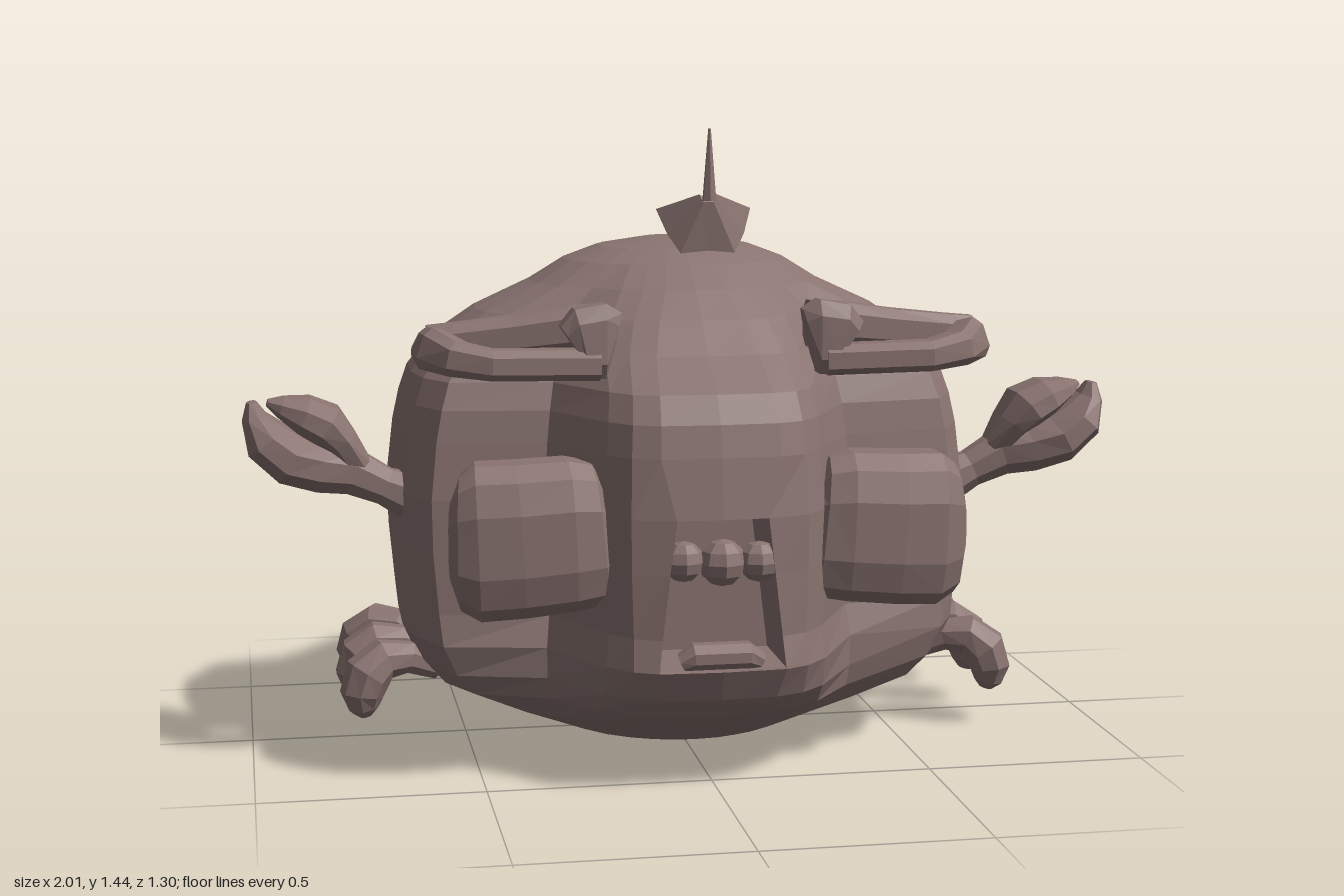
import * as THREE from 'three';

const shell = new THREE.MeshStandardMaterial({ color: 0x8a7471, flatShading: true, side: THREE.DoubleSide });
shell.name = 'dusty brown';

// Skins a list of equal-length closed rings and caps both ends
function skin(rings, skip = () => false) {
  const n = rings[0].length, pos = [], idx = [];
  rings.forEach(r => r.forEach(p => pos.push(p.x, p.y, p.z)));
  for (let l = 0; l < rings.length - 1; l++) {
    for (let i = 0; i < n; i++) {
      if (skip(l, i, n)) continue;
      const j = (i + 1) % n, a = l * n + i, b = l * n + j;
      idx.push(a, b, b + n, a, b + n, a + n);
    }
  }
  [0, rings.length - 1].forEach((l, end) => {
    const c = new THREE.Vector3();
    rings[l].forEach(p => c.addScaledVector(p, 1 / n));
    const k = pos.length / 3;
    pos.push(c.x, c.y, c.z);
    for (let i = 0; i < n; i++) {
      const a = l * n + i, b = l * n + (i + 1) % n;
      if (end) idx.push(a, b, k); else idx.push(b, a, k);
    }
  });
  const g = new THREE.BufferGeometry();
  g.setAttribute('position', new THREE.Float32BufferAttribute(pos, 3));
  g.setIndex(idx);
  g.computeVertexNormals();
  return g;
}

// Closes a half outline (x >= 0, ends on x = 0) with its mirror image
const mirrorRing = half => [...half,
  ...half.slice(1, -1).reverse().map(p => new THREE.Vector3(-p.x, p.y, p.z))];

// Limb swept along stations [x, y, z, radius in the xy plane, radius across]
function limb(stations, sides = 8, square = 1) {
  const pts = stations.map(s => new THREE.Vector3(s[0], s[1], s[2]));
  return skin(stations.map((s, k) => {
    const t = pts[Math.min(k + 1, pts.length - 1)].clone().sub(pts[Math.max(k - 1, 0)]).normalize();
    const n = new THREE.Vector3(0, 0, 1).cross(t).normalize();
    const b = t.clone().cross(n);
    const pw = v => Math.sign(v) * Math.abs(v) ** square;
    return Array.from({ length: sides }, (_, i) => {
      const a = (i + 0.5) / sides * Math.PI * 2;
      return pts[k].clone().addScaledVector(n, pw(Math.cos(a)) * s[3]).addScaledVector(b, pw(Math.sin(a)) * s[4]);
    });
  }));
}

function add(parent, name, geometry, x = 0, y = 0, z = 0) {
  const m = new THREE.Mesh(geometry, shell);
  m.name = name;
  m.position.set(x, y, z);
  parent.add(m);
  return m;
}

// Half outlines from front to back: a plus-shaped plan and a round plan
const CROSS = [[0, 1], [.2, .99], [.29, .95], [.36, .86], [.52, .54], [.89, .48], [.97, .32], [1, .1],
  [1, -.17], [.87, -.49], [.54, -.58], [.38, -.88], [.31, -.95], [.17, -.99], [0, -1]];
const ROUND = [[0, 1], [.2, .98], [.35, .93], [.5, .86], [.68, .73], [.84, .54], [.96, .28], [1, 0],
  [.96, -.28], [.84, -.54], [.68, -.73], [.5, -.86], [.35, -.93], [.2, -.98], [0, -1]];

// Body levels: y, front z, back z, half width, amount of plus shape
const LEVELS = [
  [.008, .1, -.1, .1, 0], [.04, .28, -.3, .28, 0], [.11, .44, -.48, .45, .2], [.17, .55, -.61, .58, .55],
  [.22, .61, -.635, .62, .75], [.29, .645, -.645, .65, .9], [.36, .63, -.65, .655, 1], [.5, .63, -.655, .668, 1],
  [.62, .63, -.65, .67, 1], [.75, .61, -.625, .655, 1], [.82, .595, -.595, .64, 1], [.88, .555, -.55, .62, 1],
  [.95, .45, -.43, .57, .85], [1.02, .375, -.36, .47, .55], [1.08, .3, -.31, .34, .2],
  [1.13, .22, -.24, .26, 0], [1.16, .15, -.17, .18, 0], [1.178, .05, -.07, .07, 0]];

// Half width of the mouth, narrowing upward
const mouthX = y => .14 - (y - .29) * .12;

function bodyGeometry() {
  const rings = LEVELS.map(([y, f, b, w, k]) => mirrorRing(CROSS.map((c, i) => {
    const u = c[0] * k + ROUND[i][0] * (1 - k), v = c[1] * k + ROUND[i][1] * (1 - k);
    const onMouth = i === 1 && y > .28 && y < .63;
    return new THREE.Vector3(onMouth ? mouthX(y) : u * w, y, v > 0 ? v * f : -v * b);
  })));
  // Leave the mouth open
  return skin(rings, (l, i, n) => l >= 5 && l < 8 && (i === 0 || i === n - 1));
}

// Mouth recess: a tapered box without its front face
function recessGeometry() {
  const g = new THREE.BoxGeometry(2, .33, .2).translate(0, .455, .525);
  const p = g.attributes.position;
  for (let i = 0; i < p.count; i++) p.setX(i, p.getX(i) * mouthX(p.getY(i)));
  g.setIndex(Array.from(g.index.array).filter((_, i) => i < 24 || i >= 30));
  return g;
}

function side() {
  const g = new THREE.Group();
  add(g, 'eye', limb([[.21, .58, .46, .1, .06], [.25, .57, .46, .16, .095], [.31, .57, .465, .17, .105],
    [.42, .562, .465, .173, .105], [.51, .558, .46, .175, .1], [.545, .558, .455, .15, .085],
    [.565, .558, .45, .09, .05]], 12, .7));

  // Brow pincer: tall inner block and two flat prongs
  add(g, 'browBlock', limb([[.215, .99, .49, .07, .03], [.235, .995, .49, .085, .045], [.285, .99, .49, .08, .05],
    [.3, .98, .49, .06, .04]], 8, .6));
  add(g, 'browLowerProng', limb([[.25, .945, .5, .035, .045], [.48, .95, .51, .035, .045],
    [.55, .96, .485, .04, .05], [.6, .975, .43, .05, .04], [.62, .985, .39, .035, .02]], 8, .7));
  add(g, 'browUpperProng', limb([[.23, 1.015, .43, .055, .045], [.3, 1.015, .42, .05, .05], [.42, 1.0, .4, .045, .05],
    [.55, .985, .39, .045, .04], [.61, .985, .39, .04, .025]], 8, .7));

  // Large pincer
  add(g, 'clawLowerProng', limb([[.62, .6, .14, .06, .06], [.69, .63, .14, .045, .045], [.76, .665, .14, .055, .055],
    [.83, .678, .14, .06, .08], [.9, .7, .14, .062, .105], [.955, .745, .14, .055, .1], [.98, .795, .14, .03, .06],
    [.985, .83, .14, .012, .025]]));
  add(g, 'clawUpperProng', limb([[.74, .66, .14, .035, .04], [.785, .735, .14, .04, .085], [.82, .775, .14, .052, .105],
    [.87, .8, .14, .045, .095], [.92, .818, .14, .025, .06], [.95, .828, .14, .008, .02]]));

  // Three small feet, splayed front to back
  [[.1, -.25], [-.055, .03], [-.21, .45]].forEach(([z, turn]) => {
    const foot = add(g, 'foot', limb([[-.04, .19, 0, .03, .03], [.03, .22, 0, .038, .038], [.09, .222, 0, .048, .052],
      [.13, .19, 0, .055, .062], [.145, .145, 0, .05, .055], [.14, .11, 0, .035, .036], [.135, .092, 0, .015, .015]]),
      .61, 0, z);
    foot.rotation.y = turn;
  });
  return g;
}

export function createModel() {
  const model = new THREE.Group();
  add(model, 'body', bodyGeometry());

  add(model, 'mouthRecess', recessGeometry());
  [[-.08, .525, .045], [.005, .52, .052], [.085, .52, .045]].forEach(([x, y, r]) =>
    add(model, 'tooth', new THREE.SphereGeometry(r, 8, 6), x, y, .59));
  add(model, 'lowerLip', limb([[-.085, .305, .6, .02, .03], [-.06, .318, .605, .03, .035],
    [.06, .318, .605, .03, .035], [.085, .305, .6, .02, .03]]));

  // Mirrored sides
  const left = side();
  left.name = 'leftSide';
  const right = side();
  right.name = 'rightSide';
  right.scale.x = -1;
  model.add(left, right);

  // Floating horn: a flared cup with two ears, topped by a thin spike
  const horn = new THREE.Group();
  horn.name = 'horn';
  const rim = mirrorRing([[0, 1.18, .44], [.06, 1.175, .44], [.085, 1.215, .415], [.105, 1.268, .385],
    [.055, 1.245, .35], [0, 1.238, .343]].map(p => new THREE.Vector3(...p)));
  const tip = new THREE.Vector3(0, 1.31, .453);
  const neck = rim.map(p => p.clone().lerp(tip, .82));
  add(horn, 'hornCup', skin([rim, neck]));
  add(horn, 'hornSpike', new THREE.CylinderGeometry(.003, .016, .155, 6), 0, 1.367, .457);
  model.add(horn);
  return model;
}
